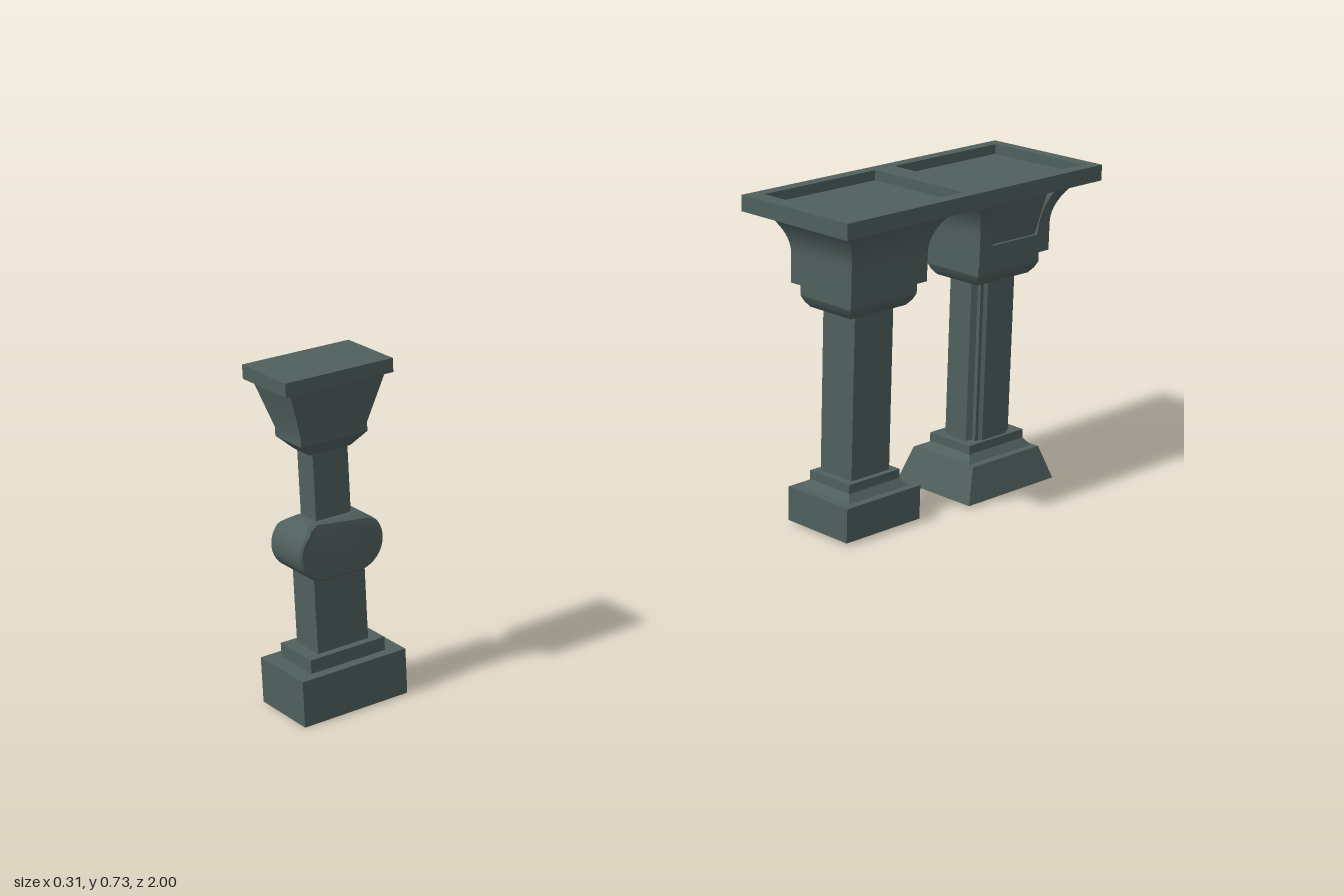
import * as THREE from 'three';
import { toCreasedNormals } from 'three/addons/utils/BufferGeometryUtils.js';

const stone = new THREE.MeshStandardMaterial({ color: 0x50605d });
stone.name = 'greyGreenStone';

function mesh(name, geometry, z = 0) {
  const m = new THREE.Mesh(geometry, stone);
  m.name = name;
  m.position.z = z;
  return m;
}

// Rectangular loft through rings [y, halfX, halfZ]; an optional panel is sunk into both x faces.
function loft(rings, recess) {
  const pos = [];
  const quad = (a, b, c, d) => pos.push(...a, ...b, ...c, ...a, ...c, ...d);
  const corners = ([y, x, z]) => [[x, y, z], [x, y, -z], [-x, y, -z], [-x, y, z]];

  // Cross-section of one x face, stepping inward at the panel
  const section = ([y, x, z], s) => {
    const t = (y - recess.y0) / (recess.y1 - recess.y0);
    const h = THREE.MathUtils.lerp(recess.w0, recess.w1, t);
    const b = THREE.MathUtils.lerp(recess.x0, recess.x1, t);
    return [[x, z], [x, h], [b, h], [b, -h], [x, -h], [x, -z]].map(([px, pz]) => [s * px, y, s * pz]);
  };

  for (let i = 0; i < rings.length - 1; i++) {
    const lo = corners(rings[i]), hi = corners(rings[i + 1]);
    const sunk = recess && rings[i][0] > recess.y0 - 1e-5 && rings[i + 1][0] < recess.y1 + 1e-5;
    for (let k = 0; k < 4; k++) {
      const n = (k + 1) % 4;
      if (sunk && k % 2 === 0) {
        const a = section(rings[i], 1 - k), b = section(rings[i + 1], 1 - k);
        for (let j = 0; j < 5; j++) quad(a[j], a[j + 1], b[j + 1], b[j]);
        if (rings[i][0] < recess.y0 + 1e-5) quad(a[1], a[4], a[3], a[2]);
        if (rings[i + 1][0] > recess.y1 - 1e-5) quad(b[2], b[3], b[4], b[1]);
      } else quad(lo[k], lo[n], hi[n], hi[k]);
    }
  }
  const bottom = corners(rings[0]), top = corners(rings[rings.length - 1]);
  quad(bottom[3], bottom[2], bottom[1], bottom[0]);
  quad(...top);

  const g = new THREE.BufferGeometry();
  g.setAttribute('position', new THREE.Float32BufferAttribute(pos, 3));
  return toCreasedNormals(g, 0.4);
}

// Capital: collar, upright block and concave flare
function capital(recess) {
  const rings = [
    [0.485, 0.06, 0.08], [0.497, 0.069, 0.09], [0.51, 0.075, 0.096], [0.537, 0.075, 0.096],
    [0.537, 0.09, 0.11], [0.578, 0.09, 0.11],
  ];
  for (let i = 0; i <= 8; i++) {
    const t = i / 8;
    rings.push([0.6 + 0.09 * t, 0.09 + 0.035 * t * t, 0.11 + 0.045 * t * t]);
  }
  return loft(rings, recess);
}

// Shaft with a raised bevelled strip on each side
function panelledShaft(y0, y1) {
  const q = [[0.052, 0.038], [0.045, 0.044], [0.045, 0.053], [0.036, 0.053], [0.03, 0.067]];
  const r = [...q].reverse();
  const pts = [
    ...q, ...r.map(([x, z]) => [-x, z]),
    ...q.map(([x, z]) => [-x, -z]), ...r.map(([x, z]) => [x, -z]),
  ].map(([x, z]) => new THREE.Vector2(x, z));
  const g = new THREE.ExtrudeGeometry(new THREE.Shape(pts), { depth: y1 - y0, bevelEnabled: false });
  return g.rotateX(-Math.PI / 2).translate(0, y0, 0);
}

// Drum with rounded ends, lying across the front post and narrowing at its crown
function drum() {
  const s = new THREE.Shape();
  const r = 0.049, f = 0.034;
  s.absarc(f, 0, r, -Math.PI / 2, Math.PI / 2);
  s.absarc(-f, 0, r, Math.PI / 2, Math.PI * 1.5);
  const g = new THREE.ExtrudeGeometry(s, {
    depth: 0.092, bevelSize: 0.004, bevelThickness: 0.004, bevelSegments: 1, curveSegments: 16,
  });
  g.translate(0, 0, -0.046).rotateY(Math.PI / 2).translate(0, 0.308, 0);
  const p = g.attributes.position;
  for (let i = 0; i < p.count; i++) {
    const k = THREE.MathUtils.clamp((p.getY(i) - 0.345) / 0.016, 0, 1);
    p.setX(i, p.getX(i) * (1 - 0.45 * k));
  }
  return toCreasedNormals(g, 0.5);
}

// Table slab with two sunken trays
function slab() {
  const rect = (C, x, z0, z1) => {
    const c = new C();
    c.moveTo(-x, -z0); c.lineTo(x, -z0); c.lineTo(x, -z1); c.lineTo(-x, -z1); c.closePath();
    return c;
  };
  const outline = rect(THREE.Shape, 0.156, -0.236, -1);
  outline.holes.push(rect(THREE.Path, 0.129, -0.275, -0.595), rect(THREE.Path, 0.129, -0.653, -0.972));
  const rim = new THREE.ExtrudeGeometry(outline, { depth: 0.022, bevelEnabled: false });
  rim.rotateX(-Math.PI / 2).translate(0, 0.703, 0);
  const floor = new THREE.BoxGeometry(0.312, 0.013, 0.764).translate(0, 0.6965, -0.618);
  const g = new THREE.Group();
  g.name = 'tableSlab';
  g.add(mesh('trayRim', rim), mesh('trayFloor', floor));
  return g;
}

export function createModel() {
  const model = new THREE.Group();
  model.name = 'pillarTable';

  // Front post
  const post = new THREE.Group();
  post.name = 'frontPost';
  post.add(
    mesh('postBase', loft([
      [0, 0.07, 0.109], [0.088, 0.07, 0.109], [0.088, 0.05, 0.078], [0.114, 0.05, 0.078],
    ])),
    mesh('postLowerShaft', loft([[0.114, 0.035, 0.053], [0.28, 0.035, 0.053]])),
    mesh('postDrum', drum()),
    mesh('postUpperShaft', loft([[0.33, 0.025, 0.036], [0.487, 0.025, 0.036]])),
    mesh('postCapital', loft([
      [0.485, 0.025, 0.042], [0.51, 0.042, 0.068], [0.527, 0.042, 0.068],
      [0.617, 0.063, 0.096], [0.617, 0.07, 0.109], [0.643, 0.07, 0.109],
    ])),
  );
  post.position.z = 0.891;

  // Plain pillar under the front half of the slab
  const plain = new THREE.Group();
  plain.name = 'plainPillar';
  plain.add(
    mesh('plainBase', loft([
      [0.006, 0.09, 0.109], [0.083, 0.09, 0.109], [0.083, 0.073, 0.088],
      [0.1, 0.06, 0.075], [0.12, 0.06, 0.075],
    ])),
    mesh('plainShaft', loft([[0.12, 0.047, 0.056], [0.485, 0.047, 0.056]])),
    mesh('plainCapital', capital()),
  );
  plain.position.z = -0.425;

  // Panelled pillar under the back half of the slab
  const panelled = new THREE.Group();
  panelled.name = 'panelledPillar';
  panelled.add(
    mesh('splayedBase', loft([
      [0.006, 0.11, 0.136], [0.083, 0.09, 0.106], [0.083, 0.073, 0.1],
      [0.1, 0.06, 0.086], [0.12, 0.06, 0.086],
    ])),
    mesh('panelledShaft', panelledShaft(0.12, 0.485)),
    mesh('panelledCapital', capital({
      y0: 0.578, y1: 0.67875, w0: 0.07, w1: 0.094, x0: 0.083, x1: 0.097,
    })),
  );
  panelled.position.z = -0.804;

  model.add(post, plain, panelled, slab());
  return model;
}
